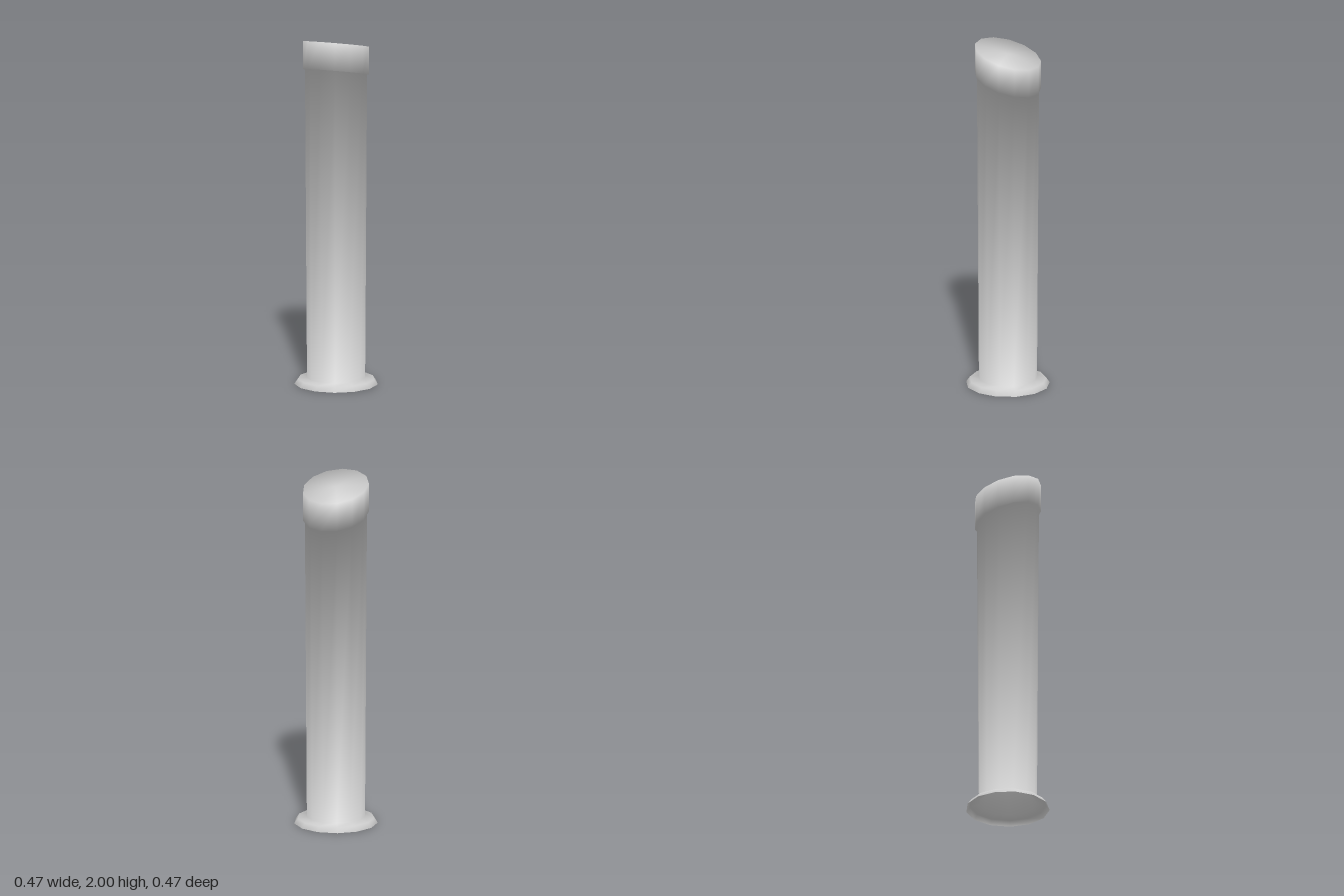
import * as THREE from 'three';

const SIDES = 13;
const START = 0.192; // angle of the first corner
const UP = new THREE.Vector3(0, 1, 0);
const SLANT = new THREE.Vector3(-0.04, 1, -0.28).normalize(); // tilt of the cap

// A ring is { r, y, slant, tilt }: tilt leans the smooth normal from outward (0) to up (1) or down (-1).
function loft(name, rings, material) {
  const pos = [], nor = [], index = [];
  const row = SIDES + 1;
  for (const { r, y, slant = false, tilt } of rings) {
    const axis = slant ? SLANT : UP;
    for (let j = 0; j <= SIDES; j++) {
      const a = START + (j % SIDES) / SIDES * Math.PI * 2;
      const x = r * Math.cos(a), z = r * Math.sin(a);
      pos.push(x, y + (slant ? 0.04 * x + 0.28 * z : 0), z);
      const n = new THREE.Vector3(Math.cos(a), 0, Math.sin(a))
        .multiplyScalar(1 - Math.abs(tilt)).addScaledVector(axis, tilt).normalize();
      nor.push(n.x, n.y, n.z);
    }
  }
  for (let i = 0; i < rings.length - 1; i++) {
    for (let j = 0; j < SIDES; j++) {
      const a = i * row + j, b = a + 1, c = a + row, d = c + 1;
      index.push(a, c, b);
      if (rings[i + 1].r > 0) index.push(b, c, d);
    }
  }
  const geometry = new THREE.BufferGeometry();
  geometry.setAttribute('position', new THREE.Float32BufferAttribute(pos, 3));
  geometry.setAttribute('normal', new THREE.Float32BufferAttribute(nor, 3));
  geometry.setIndex(index);
  const mesh = new THREE.Mesh(geometry, material);
  mesh.name = name;
  return mesh;
}

export function createModel() {
  const group = new THREE.Group();
  group.name = 'bollard';
  const grey = new THREE.MeshStandardMaterial({ color: 0xcccccc, side: THREE.DoubleSide });

  // rings shared by neighbouring parts
  const shaftFoot = { r: 0.164, y: 0.037, tilt: 0.45 };
  const shaftHead = { r: 0.175, y: 1.79, slant: true, tilt: -0.5 };

  // open-bottomed foot flange
  group.add(loft('baseFlange', [
    { r: 0.235, y: 0, tilt: 0.25 },
    { r: 0.215, y: 0.028, tilt: 0.6 },
    shaftFoot,
  ], grey));

  // slightly flaring post, cut at a slant under the cap
  group.add(loft('shaft', [shaftFoot, shaftHead], grey));

  // slanted cap with a small lip below and a flat top
  group.add(loft('cap', [
    shaftHead,
    { r: 0.186, y: 1.79, slant: true, tilt: -0.45 },
    { r: 0.186, y: 1.95, slant: true, tilt: 0.5 },
    { r: 0, y: 1.95, slant: true, tilt: 1 },
  ], grey));

  return group;
}
